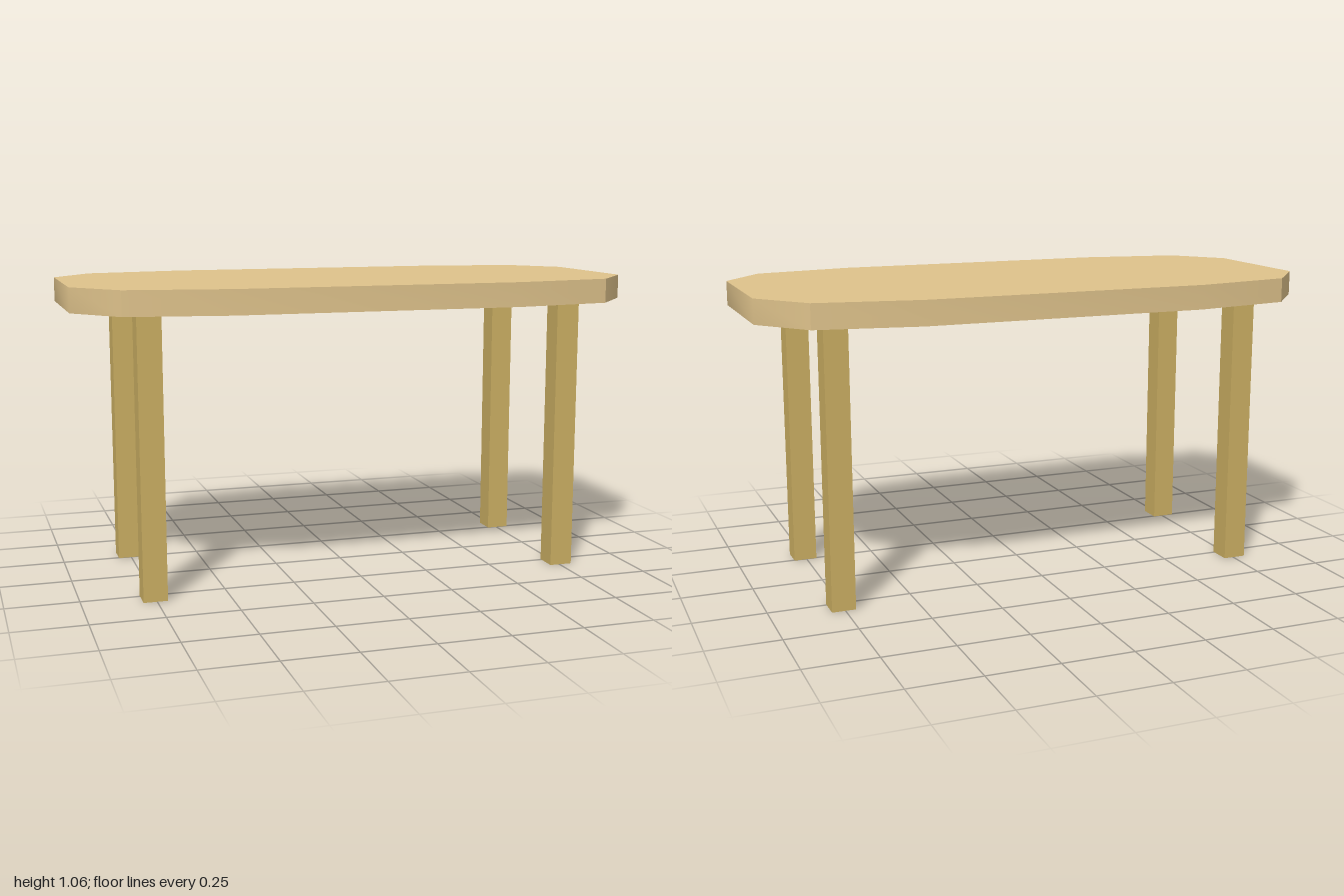
import * as THREE from 'three';
import { toCreasedNormals } from 'three/addons/utils/BufferGeometryUtils.js';

const TOP_Y = 1.06;
const THICKNESS = 0.085;
const LEG_HEIGHT = TOP_Y - THICKNESS;
const LEG_WIDTH = 0.083;

export function createModel() {
  const table = new THREE.Group();
  table.name = 'table';
  const topMaterial = new THREE.MeshStandardMaterial({ color: 0xdec28b });
  const legMaterial = new THREE.MeshStandardMaterial({ color: 0xcaae62 });

  // Table top: one corner's outline mirrored into a twelve-sided slab
  const corner = [[1, 0.24], [0.855, 0.415], [0.5, 0.475]];
  const outline = [];
  for (const [sx, sz] of [[1, 1], [-1, 1], [-1, -1], [1, -1]]) {
    const points = corner.map(([x, z]) => new THREE.Vector2(x * sx, z * sz));
    outline.push(...(sx * sz > 0 ? points : points.reverse()));
  }
  const slab = new THREE.ExtrudeGeometry(new THREE.Shape(outline), {
    depth: THICKNESS, bevelEnabled: false,
  });
  slab.rotateX(-Math.PI / 2);
  // Rounded shading at the ends and along the sides, creased at the corners
  const top = new THREE.Mesh(
    toCreasedNormals(slab, THREE.MathUtils.degToRad(40.2)), topMaterial);
  top.name = 'tableTop';
  top.position.y = LEG_HEIGHT;
  table.add(top);

  // Four square legs
  const legGeometry = new THREE.BoxGeometry(LEG_WIDTH, LEG_HEIGHT, LEG_WIDTH);
  for (const sx of [1, -1]) {
    for (const sz of [1, -1]) {
      const leg = new THREE.Mesh(legGeometry, legMaterial);
      leg.name = (sz > 0 ? 'front' : 'back') + (sx > 0 ? 'Left' : 'Right') + 'Leg';
      leg.position.set(sx * 0.755, LEG_HEIGHT / 2, sz * 0.286);
      table.add(leg);
    }
  }
  return table;
}
